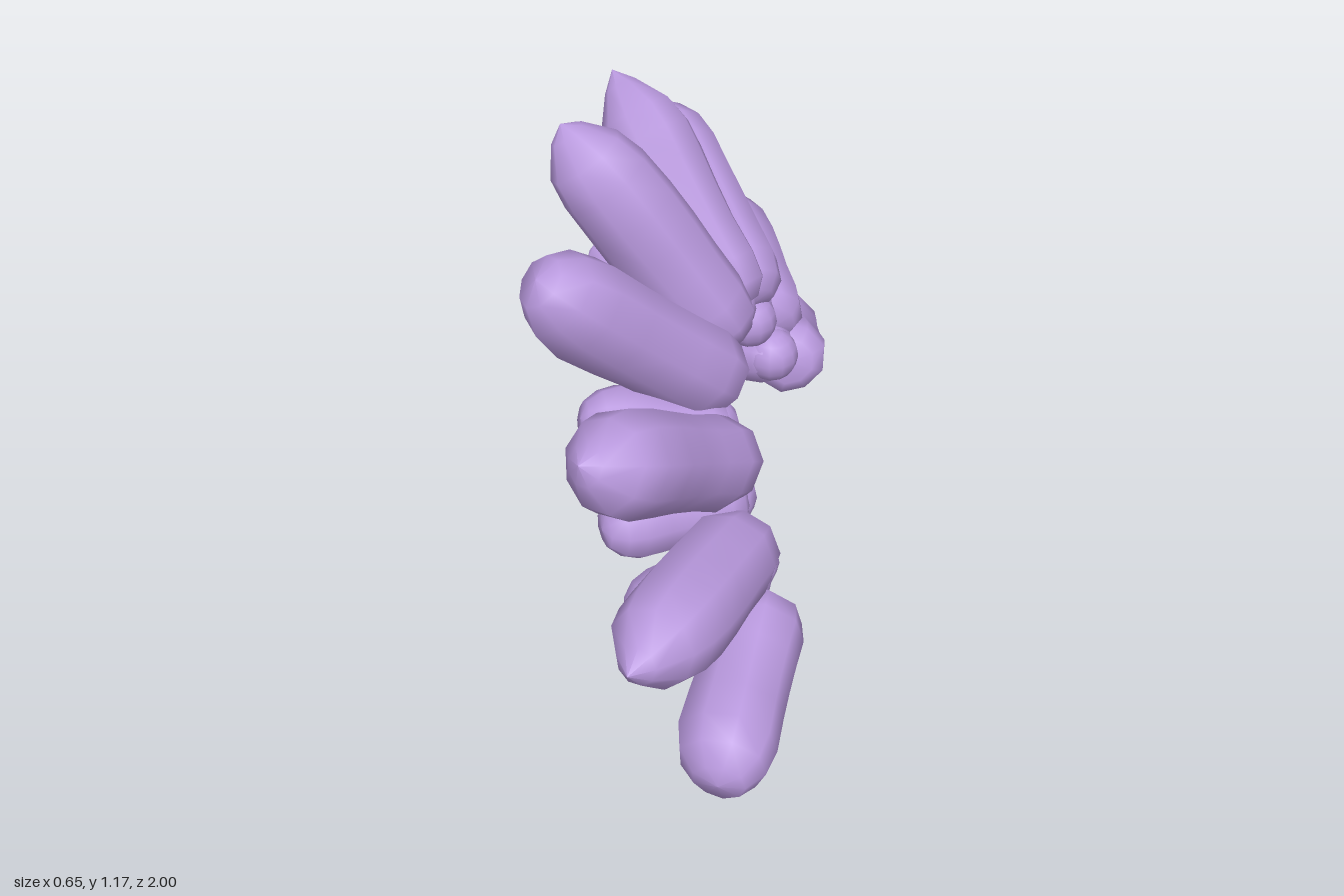
import * as THREE from 'three';

const V = (a) => new THREE.Vector3(...a);

// Crystal profiles, shared body with different ends: [radius factor, fraction of the length]
const BODY = [[0, 0], [0.58, 0.01], [0.9, 0.07], [1, 0.17], [0.98, 0.32], [1, 0.46], [1.02, 0.6]];
const BLUNT = [...BODY, [1.02, 0.77], [0.86, 0.89], [0.52, 0.98], [0, 1]];
const BEVELLED = [...BODY, [1.01, 0.75], [0.86, 0.86], [0.38, 0.96], [0, 1]];
const POINTED = [...BODY, [1, 0.71], [0.86, 0.81], [0.4, 0.93], [0, 1]];
const SIDES = 9;

// Gently lumpy crystal running from base to tip
function crystal(base, tip, radius, profile, seed) {
  const a = V(base), dir = V(tip).sub(a), length = dir.length();
  const geo = new THREE.LatheGeometry(
    profile.map(([r, t]) => new THREE.Vector2(r * radius, t * length)), SIDES);
  const pos = geo.attributes.position;
  const rows = profile.length;
  for (let i = 0; i < pos.count; i++) {
    const side = Math.floor(i / rows) % SIDES, row = i % rows;
    const n = Math.sin(side * 12.9 + row * 7.3 + seed * 4.1) * 0.04
      + Math.sin(side * 2.1 + seed) * 0.03;
    pos.setX(i, pos.getX(i) * (1 + n));
    pos.setZ(i, pos.getZ(i) * (1 + n));
  }
  geo.computeVertexNormals();
  // Match the normals along the closing seam
  const nor = geo.attributes.normal;
  for (let r = 0; r < rows; r++) {
    const e = SIDES * rows + r;
    const n = new THREE.Vector3().fromBufferAttribute(nor, r)
      .add(new THREE.Vector3().fromBufferAttribute(nor, e)).normalize();
    nor.setXYZ(r, n.x, n.y, n.z);
    nor.setXYZ(e, n.x, n.y, n.z);
  }
  geo.applyQuaternion(new THREE.Quaternion().setFromUnitVectors(
    new THREE.Vector3(0, 1, 0), dir.normalize()));
  geo.translate(a.x, a.y, a.z);
  return geo;
}

export function createModel() {
  const model = new THREE.Group();
  model.name = 'crystalArch';
  const lilac = new THREE.MeshStandardMaterial({ color: 0xb999de });
  lilac.name = 'lilac';

  // Long outer crystals fanned along the arch: base, tip, radius, profile
  const large = [
    [[0.22, 0.19, 0.47], [0.16, 0.1, 0.95], 0.112, BLUNT],
    [[0.18, 0.36, 0.44], [-0.02, 0.46, 1], 0.115, POINTED],
    [[0.13, 0.5, 0.33], [-0.14, 0.82, 0.79], 0.115, BEVELLED],
    [[0.1, 0.59, 0.16], [-0.28, 1.03, 0.44], 0.115, BLUNT],
    [[0.1, 0.61, -0.01], [-0.3, 1.17, -0.01], 0.118, BEVELLED],
    [[0.1, 0.59, -0.17], [-0.25, 1.1, -0.47], 0.115, POINTED],
    [[0.13, 0.5, -0.34], [-0.17, 0.82, -0.82], 0.115, BLUNT],
    [[0.18, 0.35, -0.46], [-0.03, 0.45, -1], 0.115, BEVELLED],
    [[0.23, 0.22, -0.49], [0.16, 0.08, -0.96], 0.112, BEVELLED],
  ];
  // Short inner crystals filling the gaps: bead centre, base, tip, radius
  const small = [
    [[0.05, 0.61, 0.095], [0.09, 0.6, 0.1], [-0.27, 0.75, 0.16], 0.078],
    [[0.07, 0.54, 0.26], [0.11, 0.53, 0.25], [-0.21, 0.63, 0.38], 0.083],
    [[0.12, 0.43, 0.375], [0.16, 0.43, 0.37], [-0.14, 0.45, 0.55], 0.083],
    [[0.18, 0.285, 0.43], [0.22, 0.29, 0.42], [-0.08, 0.22, 0.58], 0.088],
  ];

  const add = (name, geo) => {
    const mesh = new THREE.Mesh(geo, lilac);
    mesh.name = name;
    model.add(mesh);
  };
  large.forEach(([b, t, r, p], i) => add('largeCrystal' + (i + 1), crystal(b, t, r, p, i + 1)));
  // Each small crystal ends in a rounded bead; mirrored front to back
  small.forEach(([c, b, t, r], i) => {
    for (const s of [1, -1]) {
      const flip = ([x, y, z]) => [x, y, z * s];
      const end = s > 0 ? 'front' : 'back';
      add(end + 'SmallCrystal' + (i + 1), crystal(flip(b), flip(t), r, BLUNT, i + 12 + s));
      add(end + 'Bead' + (i + 1), new THREE.SphereGeometry(0.075, 12, 8).translate(...flip(c)));
    }
  });
  return model;
}
